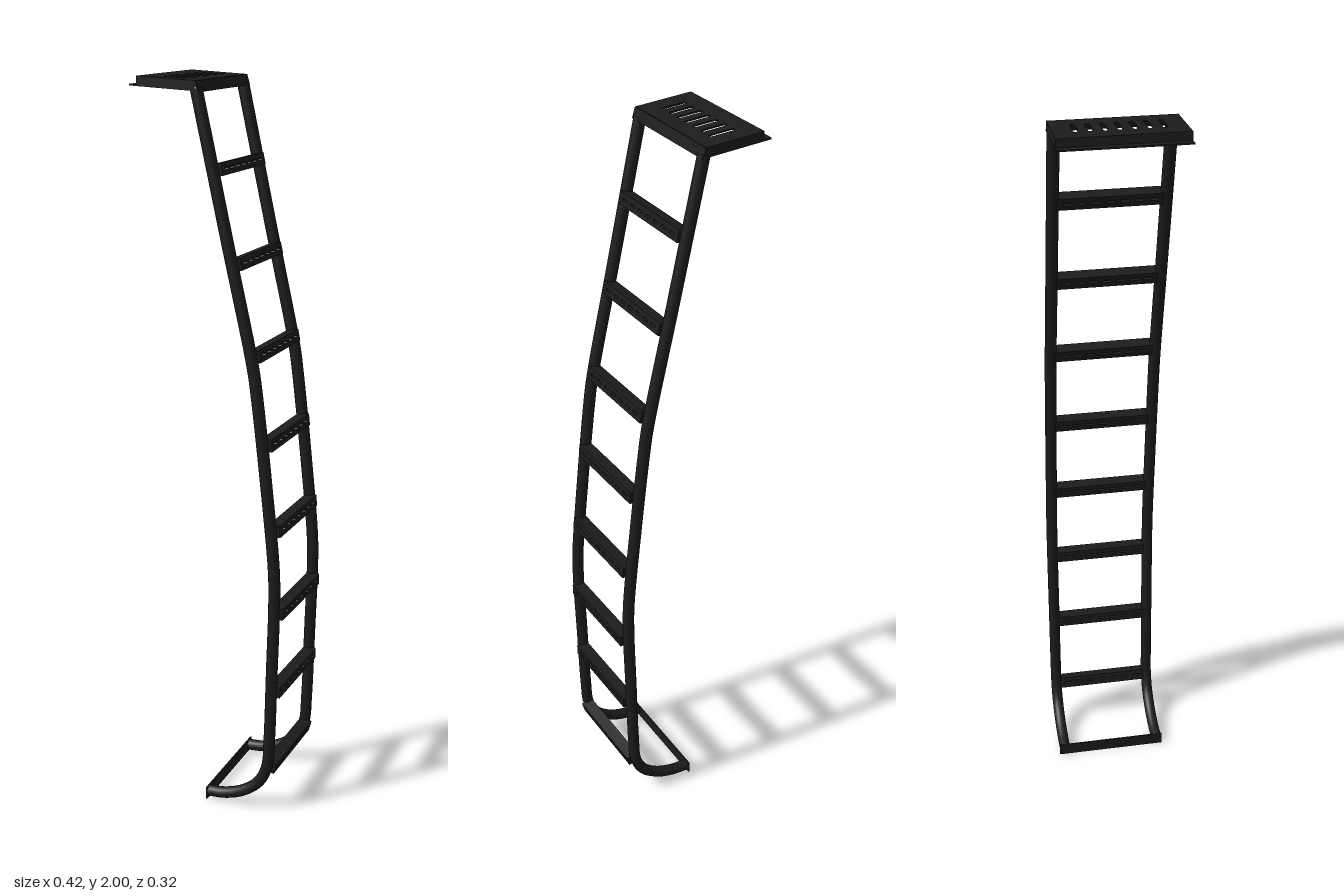
import * as THREE from 'three';

const material = new THREE.MeshStandardMaterial({ color: 0x1c1c1c, side: THREE.DoubleSide });
const HALF = 0.143; // rail spacing from the centre
const RADIUS = 0.016;

function add(parent, name, geometry, x = 0, y = 0, z = 0, tilt = 0) {
  const mesh = new THREE.Mesh(geometry, material);
  mesh.name = name;
  mesh.position.set(x, y, z);
  mesh.rotation.z = tilt;
  parent.add(mesh);
  return mesh;
}

// Rounded slot centred on (x, y), w by h
function slot(x, y, w, h) {
  const r = h / 2, d = w / 2 - r, path = new THREE.Path();
  path.moveTo(x - d, y - r);
  path.lineTo(x + d, y - r);
  path.absarc(x + d, y, r, -Math.PI / 2, Math.PI / 2, false);
  path.lineTo(x - d, y + r);
  path.absarc(x - d, y, r, Math.PI / 2, Math.PI * 1.5, false);
  return path;
}

// Rectangular plate with slots, extruded along z
function slottedPlate(x0, x1, y0, y1, depth, slots) {
  const shape = new THREE.Shape([
    new THREE.Vector2(x0, y0), new THREE.Vector2(x1, y0),
    new THREE.Vector2(x1, y1), new THREE.Vector2(x0, y1),
  ]);
  shape.holes = slots;
  return new THREE.ExtrudeGeometry(shape, { depth, bevelEnabled: false, curveSegments: 6 });
}

export function createModel() {
  const model = new THREE.Group();
  model.name = 'ladder';

  // Side rails: bent tubes, hooked at the foot
  const curve = new THREE.CatmullRomCurve3([
    [-0.008, 0.02], [0.04, 0.025], [0.095, 0.045], [0.145, 0.085], [0.17, 0.14], [0.176, 0.22],
    [0.182, 0.44], [0.187, 0.64], [0.185, 0.73], [0.161, 0.97], [0.134, 1.2], [0.122, 1.28],
    [0.05, 1.6], [-0.033, 1.972],
  ].map(([x, y]) => new THREE.Vector3(x, y, 0)));
  const railGeometry = new THREE.TubeGeometry(curve, 120, RADIUS, 16);
  add(model, 'leftSideRail', railGeometry, 0, 0, HALF);
  add(model, 'rightSideRail', railGeometry, 0, 0, -HALF);

  // Strip joining the rail ends at the foot
  add(model, 'footStrip', new THREE.BoxGeometry(0.004, 0.036, 0.318), -0.009, 0.019, 0);

  // Slotted rungs, set square to the rails and standing slightly proud
  const rungSlots = [];
  for (let i = -3; i <= 3; i++) rungSlots.push(slot(i * 0.036, 0, 0.022, 0.007));
  const rungGeometry = slottedPlate(-0.137, 0.137, -0.016, 0.016, 0.034, rungSlots);
  rungGeometry.translate(0, 0, -0.011).rotateY(Math.PI / 2);
  const samples = curve.getSpacedPoints(400);
  for (let i = 0; i < 8; i++) {
    const y = 0.137 + i * 0.2338;
    const k = samples.findIndex((p) => p.y >= y);
    const dir = samples[k + 1].clone().sub(samples[k - 1]);
    add(model, 'rung', rungGeometry, samples[k].x, y, 0, Math.atan2(-dir.x, dir.y));
  }

  // Top platform: slotted plate with turned-down edges
  const platform = new THREE.Group();
  platform.name = 'topPlatform';
  platform.position.set(-0.033, 1.992, 0);
  platform.rotation.z = -0.05;
  model.add(platform);
  const slots = [];
  for (let i = -3; i <= 3; i++) slots.push(slot(-0.074, i * 0.035, 0.07, 0.012));
  const plate = slottedPlate(-0.157, 0.003, -0.159, 0.159, 0.004, slots);
  plate.rotateX(-Math.PI / 2).translate(0, -0.004, 0);
  add(platform, 'platformPlate', plate);
  for (const s of [1, -1]) {
    add(platform, 'platformSideFlange', new THREE.BoxGeometry(0.16, 0.025, 0.003), -0.077, -0.0125, s * 0.1575);
  }
  add(platform, 'platformEndFlange', new THREE.BoxGeometry(0.004, 0.025, 0.318), -0.155, -0.0125, 0);
  add(platform, 'platformLip', new THREE.BoxGeometry(0.022, 0.004, 0.318), -0.166, -0.023, 0);
  add(platform, 'platformRailFlange', new THREE.BoxGeometry(0.004, 0.028, 0.318), 0.008, -0.014, 0, 0.35);

  return model;
}
